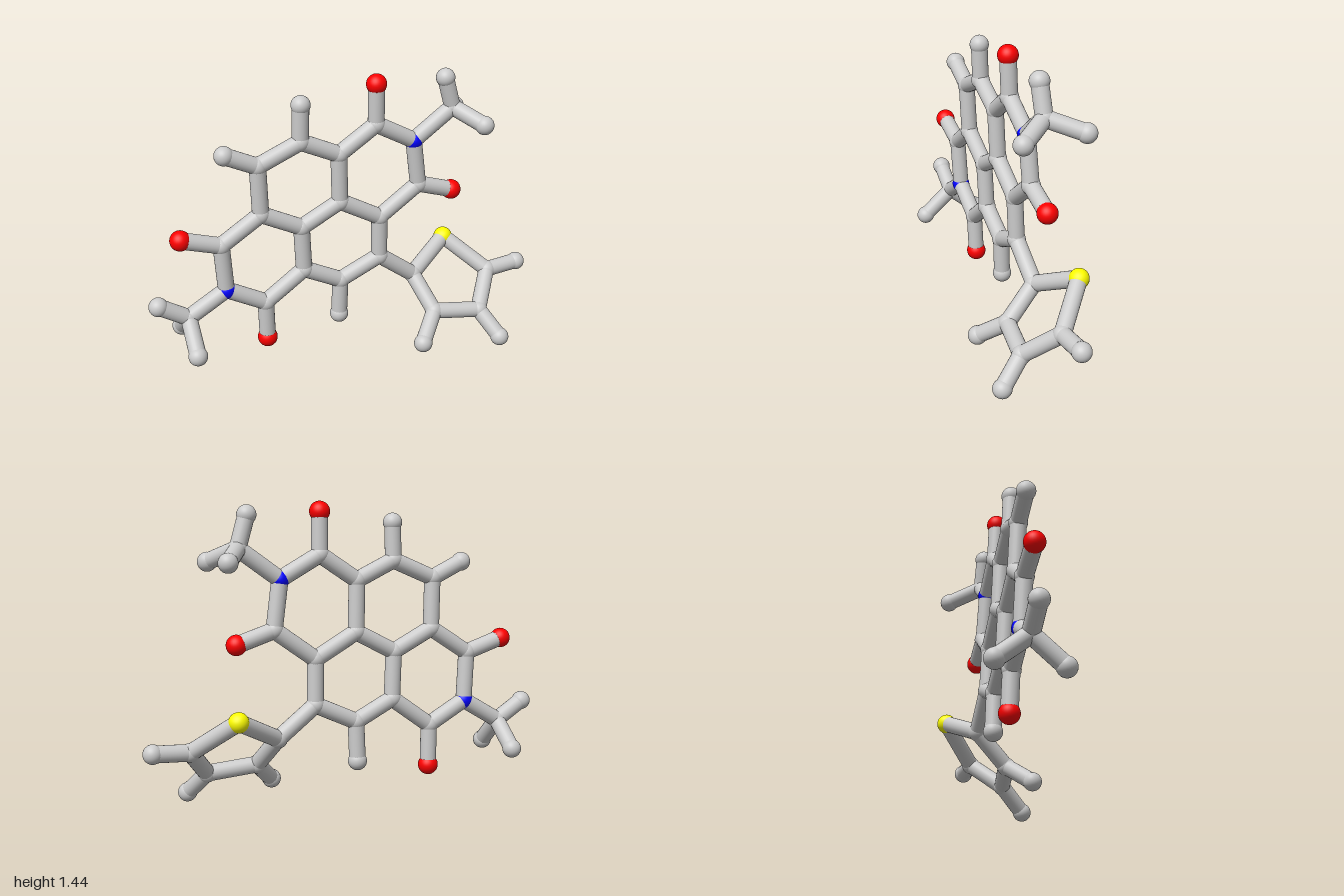
import * as THREE from 'three';

const BOND_RADIUS = 0.04;
const KINDS = {
  C: { name: 'carbon', color: 0xcccccc, radius: 0.045 },
  H: { name: 'hydrogen', color: 0xcccccc, radius: 0.046 },
  N: { name: 'nitrogen', color: 0x0000ff, radius: 0.045 },
  O: { name: 'oxygen', color: 0xff0000, radius: 0.049 },
  S: { name: 'sulfur', color: 0xffff00, radius: 0.048 },
};

// the fused rings lie in one slightly tilted plane
const planeZ = (y) => -0.085 + 0.038 * y;
// the five-sided side ring lies in a steeper plane
const sideZ = (y) => -0.2 + (0.46 - y) * 1.03;

// id: [kind, x, y, z]
const flat = (kind, x, y) => [kind, x, y, planeZ(y)];
const side = (kind, x, y) => [kind, x, y, sideZ(y)];
const ATOMS = {
  // four fused rings
  a1: flat('C', 0.14, 1.195), a2: flat('N', 0.34, 1.085),
  a3: flat('C', 0.373, 0.85), a4: flat('C', 0.17, 0.705),
  a5: flat('C', -0.04, 0.823), a6: flat('C', -0.048, 1.07),
  b1: flat('C', -0.24, 1.16), b2: flat('C', -0.45, 1.07),
  b3: flat('C', -0.44, 0.823), b4: flat('C', -0.237, 0.72),
  c1: flat('C', -0.225, 0.49), c2: flat('C', -0.033, 0.393),
  c3: flat('C', 0.175, 0.487),
  d1: flat('C', -0.637, 0.695), d2: flat('N', -0.62, 0.455),
  d3: flat('C', -0.424, 0.347),
  // atoms around the rings
  o1: flat('O', 0.137, 1.395), o2: flat('O', 0.557, 0.79),
  o3: flat('O', -0.83, 0.757), o4: flat('O', -0.418, 0.147),
  h1: flat('H', -0.238, 1.34), h2: flat('H', -0.608, 1.145),
  h3: flat('H', -0.038, 0.2),
  // upper methyl group
  m1: flat('C', 0.54, 1.23), m2: flat('H', 0.495, 1.383),
  m3: ['H', 0.645, 1.165, 0.1], m4: ['H', 0.635, 1.175, -0.197],
  // lower methyl group
  n1: flat('C', -0.81, 0.342), n2: flat('H', -0.952, 0.43),
  n3: ['H', -0.812, 0.21, 0.075], n4: ['H', -0.812, 0.222, -0.22],
  // five-sided side ring
  s1: side('C', 0.367, 0.342), s2: side('S', 0.597, 0.46),
  s3: side('C', 0.778, 0.305), s4: side('C', 0.66, 0.165),
  s5: side('C', 0.42, 0.192),
  t3: side('H', 0.955, 0.315), t4: side('H', 0.725, 0.052),
  t5: side('H', 0.31, 0.087),
};

// each chain joins its atoms in order
const CHAINS = [
  'a1 a2 a3 a4 a5 a6 a1', 'a6 b1 b2 b3 b4 a5', 'b4 c1 c2 c3 a4',
  'b3 d1 d2 d3 c1', 'c3 s1 s2 s3 s4 s5 s1',
  'a1 o1', 'a3 o2', 'd1 o3', 'd3 o4', 'b1 h1', 'b2 h2', 'c2 h3',
  'a2 m1 m2', 'm3 m1 m4', 'd2 n1 n2', 'n3 n1 n4',
  's3 t3', 's4 t4', 's5 t5',
];

export function createModel() {
  const model = new THREE.Group();
  model.name = 'molecule';
  const materials = {};
  for (const [key, kind] of Object.entries(KINDS)) {
    materials[key] = new THREE.MeshStandardMaterial({ color: kind.color });
  }

  // atoms
  const atoms = new THREE.Group();
  atoms.name = 'atoms';
  const points = {};
  const ball = new THREE.SphereGeometry(1, 32, 20);
  for (const [id, [kind, x, y, z]] of Object.entries(ATOMS)) {
    const mesh = new THREE.Mesh(ball, materials[kind]);
    mesh.name = KINDS[kind].name + 'Atom';
    mesh.position.set(x, y, z);
    mesh.scale.setScalar(KINDS[kind].radius);
    points[id] = mesh.position;
    atoms.add(mesh);
  }

  // bonds: round sticks from atom to atom
  const bonds = new THREE.Group();
  bonds.name = 'bonds';
  const up = new THREE.Vector3(0, 1, 0);
  const stick = new THREE.CylinderGeometry(BOND_RADIUS, BOND_RADIUS, 1, 24, 1, true);
  for (const chain of CHAINS) {
    const ids = chain.split(' ');
    for (let i = 1; i < ids.length; i++) {
      const from = points[ids[i - 1]], to = points[ids[i]];
      const dir = to.clone().sub(from);
      const mesh = new THREE.Mesh(stick, materials.C);
      mesh.name = 'bond';
      mesh.position.copy(from).add(to).multiplyScalar(0.5);
      mesh.scale.y = dir.length();
      mesh.quaternion.setFromUnitVectors(up, dir.normalize());
      bonds.add(mesh);
    }
  }

  model.add(atoms, bonds);
  return model;
}
